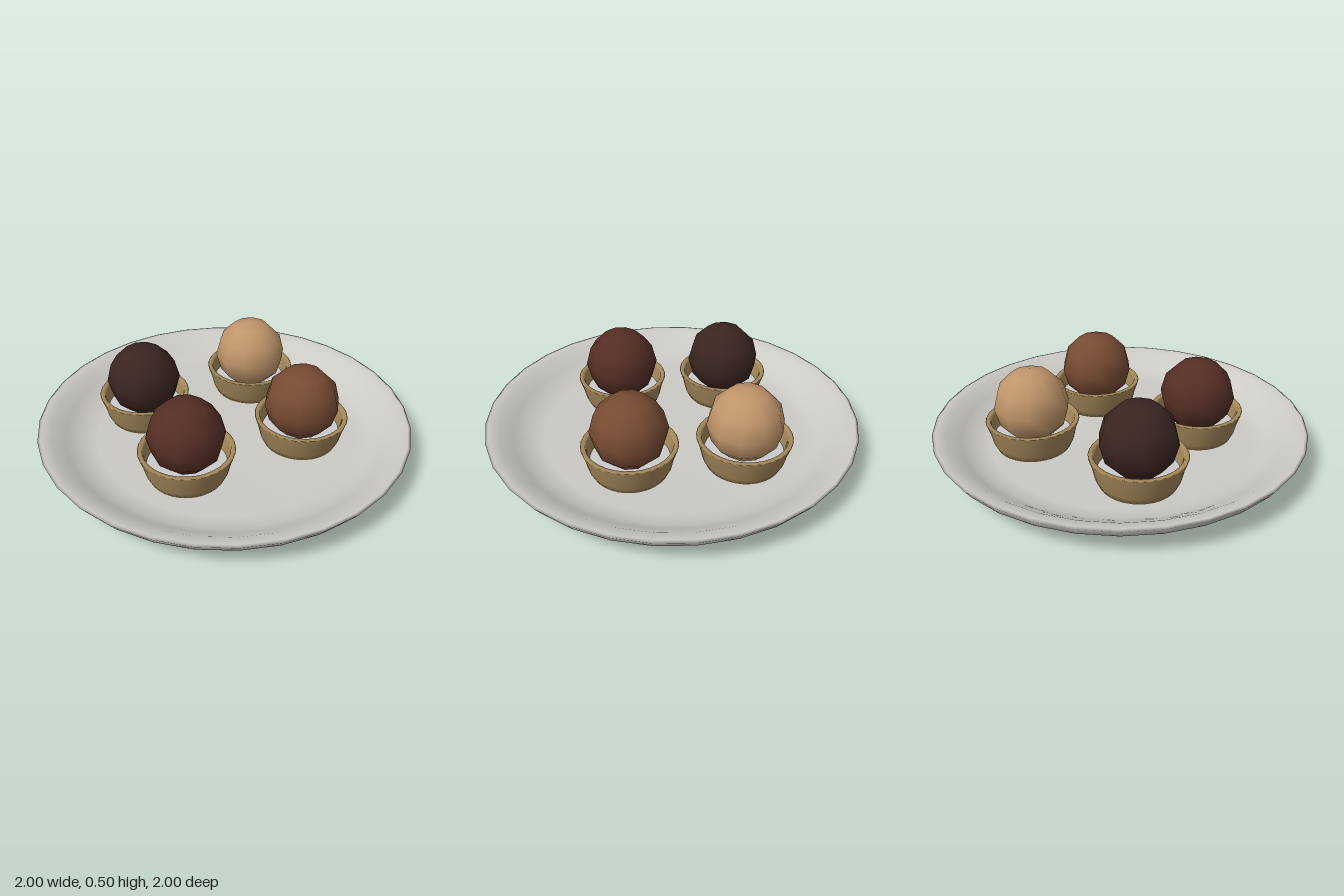
import * as THREE from 'three';

const lathe = (profile, sides) =>
  new THREE.LatheGeometry(profile.map(([r, y]) => new THREE.Vector2(r, y)), sides);

function part(name, geometry, color) {
  const mesh = new THREE.Mesh(geometry, new THREE.MeshStandardMaterial({ color }));
  mesh.name = name;
  return mesh;
}

// Shallow round dish with a foot, a sloped underside and a rolled rim
function createPlate() {
  const plate = new THREE.Group();
  plate.name = 'plate';
  const body = part('plateBody', lathe([
    [0.72, 0], [0.74, 0.05], [0.97, 0.12], [1, 0.165], [0.985, 0.17],
    [0.93, 0.16], [0.86, 0.115], [0.79, 0.075], [0.7, 0.06], [0, 0.06],
  ], 32), 0xcccac5);
  const base = part('plateBase', new THREE.CircleGeometry(0.72, 32), 0xcccac5);
  base.rotation.x = Math.PI / 2;
  plate.add(body, base);
  return plate;
}

// One ball resting on a pale filling inside a flared cup
function createTreat(x, z, color) {
  const treat = new THREE.Group();
  treat.name = 'treat';
  treat.position.set(x, 0, z);

  const cup = part('cup', lathe([
    [0, 0.058], [0.195, 0.058], [0.215, 0.1], [0.23, 0.165], [0.247, 0.215],
    [0.243, 0.22], [0.223, 0.22], [0.218, 0.205], [0.205, 0.13], [0.195, 0.09],
  ], 32), 0xa68a5c);

  const filling = part('filling', new THREE.CircleGeometry(0.206, 32), 0xe6e6e4);
  filling.rotation.x = -Math.PI / 2;
  filling.position.y = 0.13;

  const ball = part('ball', new THREE.SphereGeometry(0.2, 10, 6), color);
  ball.rotation.y = Math.PI / 2;
  ball.position.y = 0.3;

  treat.add(cup, filling, ball);
  return treat;
}

export function createModel() {
  const model = new THREE.Group();
  model.name = 'plateOfTreats';
  model.add(createPlate());
  [
    [-0.333, 0.25, 0x552e25],
    [0.333, 0.25, 0x774b33],
    [-0.333, -0.335, 0x3a2520],
    [0.333, -0.335, 0xc0956a],
  ].forEach(([x, z, color]) => model.add(createTreat(x, z, color)));
  return model;
}
